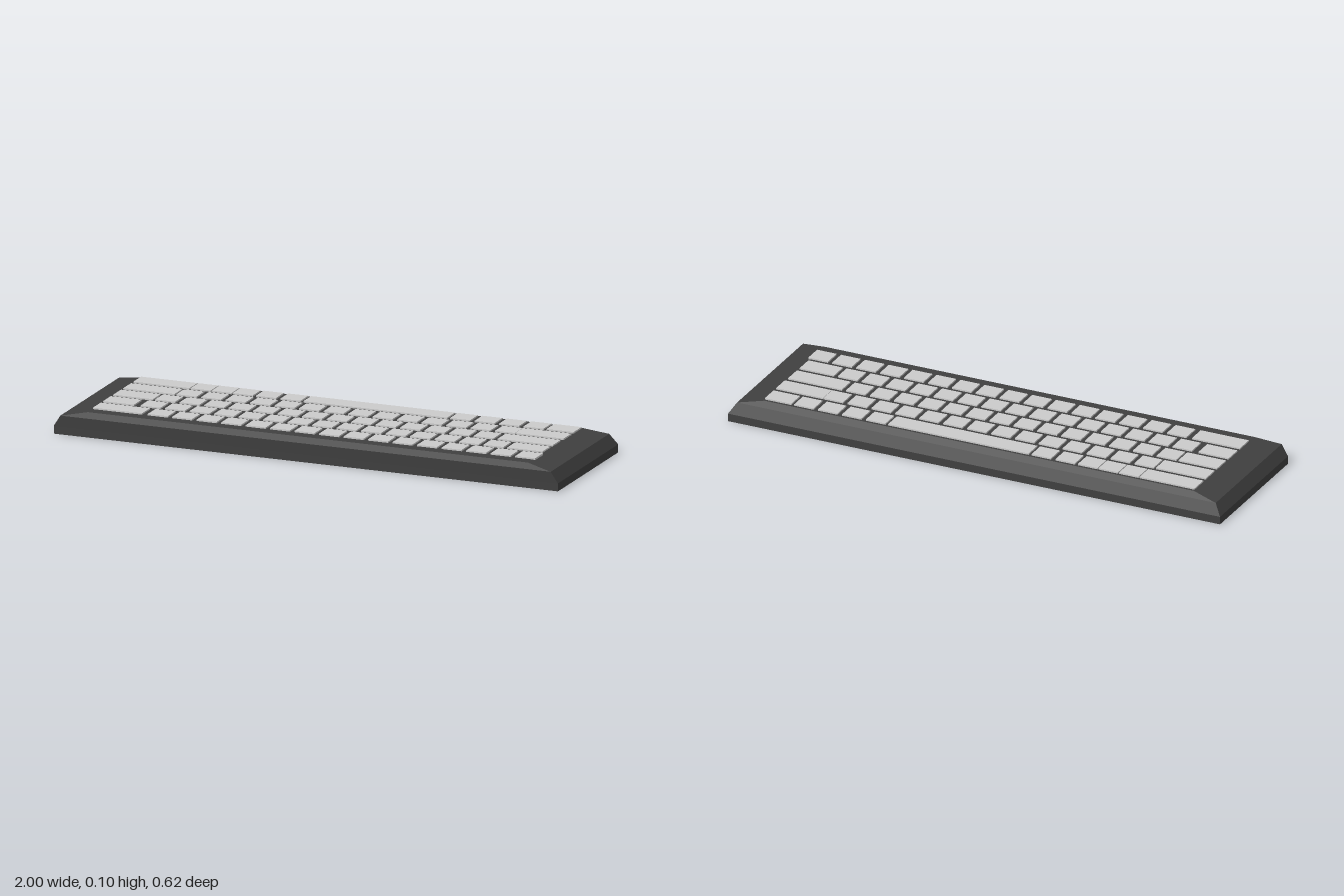
import * as THREE from 'three';

// Case: rectangular rings [y, halfWidth, backZ, frontZ] lofted upwards
const RINGS = [
  [0, 0.993, -0.283, 0.282],
  [0.03, 0.993, -0.283, 0.283],
  [0.072, 0.966, -0.263, 0.286],
  [0.09, 0.867, -0.24, 0.263],
];

// Key rows from back to front: wide keys as [x0, x1], single keys as start and count
const PITCH = 0.0965, KEY = 0.079, DEPTH = 0.073;
const ROWS = [
  { wide: [[-0.865, -0.643], [-0.195, 0.372], [0.763, 0.87]], runs: [[-0.639, 3, 0.083], [-0.382, 2], [0.383, 4]] },
  { wide: [[-0.865, -0.663], [0.68, 0.87]], runs: [[-0.655, 14]] },
  { wide: [[-0.865, -0.709], [0.65, 0.867]], runs: [[-0.7, 14]] },
  { wide: [[-0.866, -0.744], [0.727, 0.866]], runs: [[-0.718, 15]] },
  { wide: [[-0.866, -0.672]], runs: [[-0.65, 16]] },
];

function loftCase() {
  const corners = RINGS.map(([y, w, back, front]) => [[-w, y, front], [w, y, front], [w, y, back], [-w, y, back]]);
  const pos = [];
  const quad = (a, b, c, d) => pos.push(...a, ...b, ...c, ...a, ...c, ...d);
  for (let i = 0; i < corners.length - 1; i++) {
    for (let k = 0; k < 4; k++) {
      const n = (k + 1) % 4;
      quad(corners[i][k], corners[i][n], corners[i + 1][n], corners[i + 1][k]);
    }
  }
  const bottom = corners[0], top = corners[corners.length - 1];
  quad(...top);
  quad(...[...bottom].reverse());
  const geo = new THREE.BufferGeometry();
  geo.setAttribute('position', new THREE.Float32BufferAttribute(pos, 3));
  geo.computeVertexNormals();
  return geo;
}

export function createModel() {
  const model = new THREE.Group();
  model.name = 'keyboard';
  const caseMat = new THREE.MeshStandardMaterial({ color: 0x404040, flatShading: true });
  const keyMat = new THREE.MeshStandardMaterial({ color: 0xcccccc, flatShading: true });

  const body = new THREE.Mesh(loftCase(), caseMat);
  body.name = 'case';
  model.add(body);

  // Keys stand just proud of the case top
  const keys = new THREE.Group();
  keys.name = 'keys';
  model.add(keys);
  const addKey = (x0, x1, z, name) => {
    const key = new THREE.Mesh(new THREE.BoxGeometry(x1 - x0, 0.0155, DEPTH), keyMat);
    key.position.set((x0 + x1) / 2, 0.0878, z);
    key.name = name;
    keys.add(key);
  };
  ROWS.forEach(({ wide, runs }, r) => {
    const z = -0.194 + r * 0.094;
    wide.forEach(([a, b]) => addKey(a, b, z, b - a > 0.5 ? 'spaceBar' : 'wideKey'));
    runs.forEach(([start, count, pitch = PITCH]) => {
      for (let i = 0; i < count; i++) addKey(start + i * pitch, start + i * pitch + KEY, z, 'key');
    });
  });

  // The whole keyboard sits slightly turned
  model.rotation.y = -0.0252;
  return model;
}
